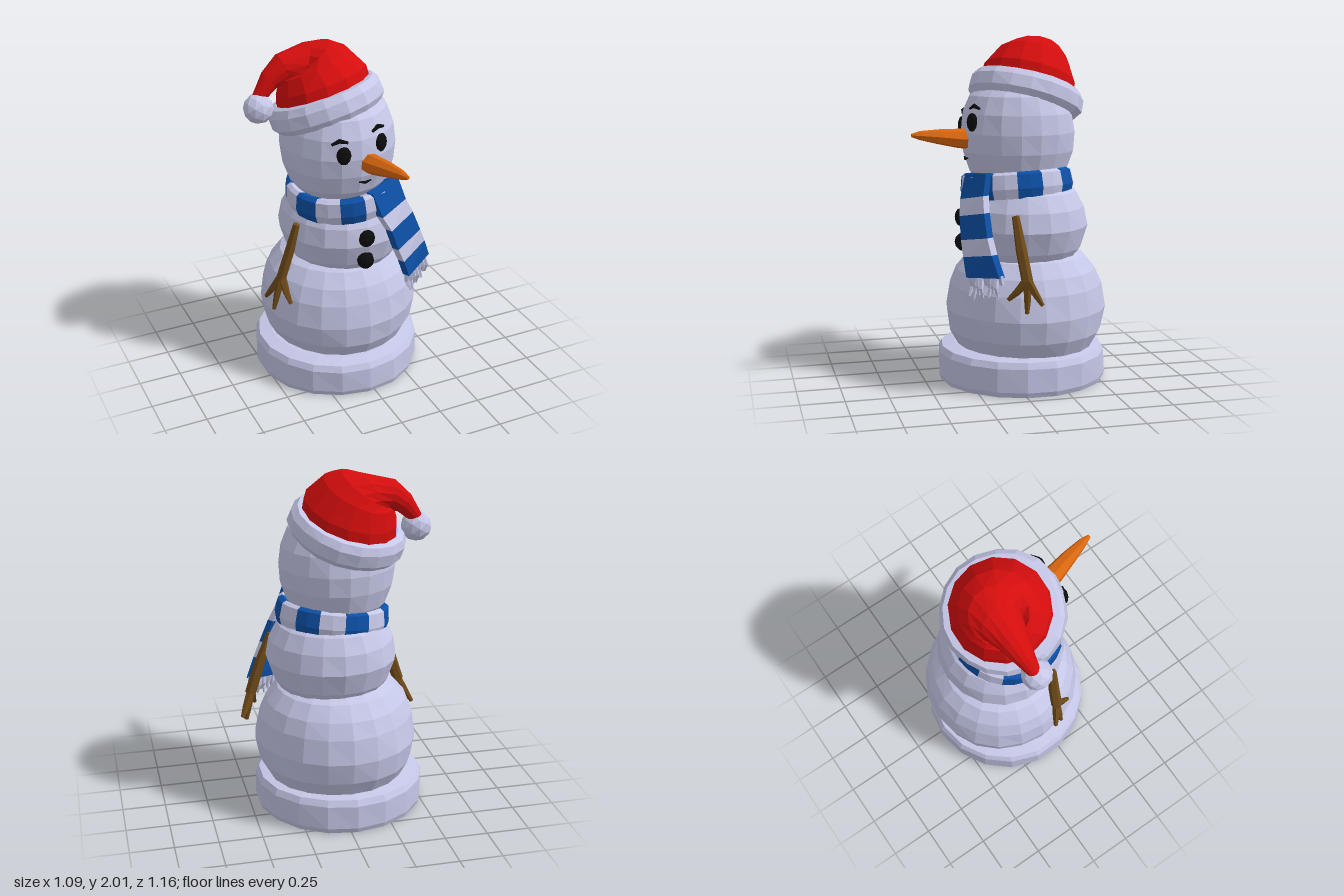
import * as THREE from 'three';

const mat = (name, color) => {
  const m = new THREE.MeshStandardMaterial({ color });
  m.name = name;
  return m;
};
const V = (a) => new THREE.Vector3(...a);

// Faceted normals baked into the geometry
function facet(geo) {
  const g = geo.index ? geo.toNonIndexed() : geo;
  g.computeVertexNormals();
  return g;
}

// Lathe with a gentle, seamless unevenness of the surface
function blob(profile, sides, amp = 0.012, start = 0, length = Math.PI * 2) {
  const g = new THREE.LatheGeometry(profile.map(([r, y]) => new THREE.Vector2(r, y)), sides, start, length);
  const p = g.attributes.position;
  for (let i = 0; i < p.count; i++) {
    const x = p.getX(i), y = p.getY(i), z = p.getZ(i), t = Math.atan2(x, z);
    const k = 1 + amp * (Math.sin(3 * t + 9 * y) + Math.sin(5 * t - 14 * y)) / 2;
    p.setXYZ(i, x * k, y, z * k);
  }
  return facet(g);
}

// Capped skin over rings of points, each ring turning counter-clockwise about the travel direction
function loft(rings) {
  const n = rings[0].length, last = rings.length - 1, pos = [], idx = [];
  rings.forEach((r) => r.forEach((q) => pos.push(q.x, q.y, q.z)));
  for (let i = 0; i < last; i++) {
    for (let j = 0; j < n; j++) {
      const a = i * n + j, b = i * n + (j + 1) % n;
      idx.push(a, b, b + n, a, b + n, a + n);
    }
  }
  for (let j = 1; j < n - 1; j++) {
    idx.push(0, j + 1, j, last * n, last * n + j, last * n + j + 1);
  }
  const g = new THREE.BufferGeometry();
  g.setAttribute('position', new THREE.Float32BufferAttribute(pos, 3));
  g.setIndex(idx);
  return facet(g);
}

// Tapering limb through stations [x, y, z, radius]; ring directions may be given
function limb(stations, sides = 6, ref = [0, 0, 1], dirs) {
  const c = stations.map((s) => new THREE.Vector3(s[0], s[1], s[2]));
  return loft(c.map((p, i) => {
    const d = dirs ? V(dirs[i]).normalize()
      : c[Math.min(i + 1, c.length - 1)].clone().sub(c[Math.max(i - 1, 0)]).normalize();
    const u = V(ref).cross(d).normalize(), v = d.clone().cross(u);
    return Array.from({ length: sides }, (_, j) => {
      const a = (j / sides) * Math.PI * 2, r = stations[i][3];
      return p.clone().addScaledVector(u, r * Math.cos(a)).addScaledVector(v, r * Math.sin(a));
    });
  }));
}

export function createModel() {
  const model = new THREE.Group();
  model.name = 'snowman';
  const snow = mat('snow', 0xc6c8e8), red = mat('hat red', 0xd40d0d), blue = mat('scarf blue', 0x0d50a6);
  const wood = mat('wood', 0x6e4a18), coal = mat('coal', 0x0c0c0c), orange = mat('carrot', 0xd9660f);
  const add = (name, geo, material, at = [0, 0, 0], parent = model) => {
    const m = new THREE.Mesh(geo, material);
    m.name = name;
    m.position.set(...at);
    parent.add(m);
    return m;
  };

  // Snow base and the three balls
  add('base', blob([[0, 0], [0.485, 0], [0.496, 0.03], [0.494, 0.165], [0.475, 0.2], [0.4, 0.215], [0, 0.215]], 18, 0.008), snow, [-0.035, 0, -0.085]);
  add('lowerBody', blob([[0, 0.19], [0.39, 0.19], [0.45, 0.3], [0.472, 0.43], [0.448, 0.57], [0.41, 0.66], [0.345, 0.74], [0.24, 0.79], [0, 0.8]], 20), snow, [-0.013, 0, -0.105]);
  add('middleBody', blob([[0, 0.7], [0.29, 0.72], [0.335, 0.79], [0.377, 0.92], [0.358, 1.03], [0.31, 1.12], [0.2, 1.2], [0, 1.22]], 18), snow, [0.01, 0, -0.085]);
  add('head', blob([[0, 1.12], [0.2, 1.14], [0.285, 1.24], [0.322, 1.35], [0.333, 1.46], [0.318, 1.57], [0.275, 1.67], [0.19, 1.75], [0, 1.78]], 18), snow, [-0.03, 0, -0.06]);

  // Face
  const pebble = (name, at, size, turn) => {
    const m = add(name, facet(new THREE.SphereGeometry(1, 10, 6)), coal, at);
    m.scale.set(...size);
    m.rotation.y = turn;
  };
  pebble('rightEye', [-0.13, 1.49, 0.245], [0.042, 0.055, 0.025], -0.32);
  pebble('leftEye', [0.1, 1.525, 0.235], [0.042, 0.055, 0.025], 0.42);
  add('rightBrow', limb([[-0.19, 1.555, 0.215, 0.008], [-0.15, 1.578, 0.232, 0.014], [-0.105, 1.565, 0.247, 0.008]], 5), coal);
  add('leftBrow', limb([[0.045, 1.6, 0.236, 0.008], [0.085, 1.618, 0.22, 0.014], [0.13, 1.605, 0.2, 0.008]], 5), coal);
  add('mouth', limb([[-0.04, 1.318, 0.252, 0.004], [-0.005, 1.31, 0.254, 0.009], [0.035, 1.316, 0.248, 0.004]], 5), coal);
  add('nose', limb([[0.01, 1.42, 0.2, 0.062], [0.025, 1.43, 0.3, 0.056], [0.055, 1.445, 0.42, 0.043], [0.08, 1.457, 0.53, 0.026], [0.09, 1.46, 0.58, 0.01]], 7, [0, 1, 0]), orange);

  // Buttons
  pebble('upperButton', [-0.005, 0.97, 0.285], [0.05, 0.052, 0.032], 0);
  pebble('lowerButton', [-0.005, 0.825, 0.265], [0.05, 0.055, 0.055], 0);

  // Scarf ring of alternating stripes
  const scarf = new THREE.Group();
  scarf.name = 'scarfRing';
  scarf.position.set(-0.007, 1.16, -0.05);
  scarf.rotation.set(0.05, 0, 0.1);
  model.add(scarf);
  const step = (Math.PI * 2) / 14;
  const band = [[0.24, -0.06], [0.315, -0.075], [0.33, -0.02], [0.318, 0.06], [0.295, 0.075], [0.24, 0.05], [0.24, -0.06]];
  for (let i = 0; i < 14; i++) {
    add('scarfStripe', blob(band, 2, 0.008, -(i + 1) * step, step), i % 2 ? snow : blue, [0, 0, 0], scarf);
  }

  // Hanging scarf end: matching points on its left-hand and right-hand edges
  const edgeA = [[0.04, 1.23, 0.265], [0.085, 1.09, 0.305], [0.135, 1.0, 0.32], [0.18, 0.87, 0.322], [0.22, 0.78, 0.318], [0.26, 0.67, 0.31]].map(V);
  const edgeB = [[0.24, 1.25, 0.19], [0.275, 1.13, 0.215], [0.32, 1.04, 0.22], [0.375, 0.91, 0.215], [0.415, 0.82, 0.2], [0.465, 0.7, 0.17]].map(V);
  const back = V([-0.022, 0, -0.038]);
  const section = (i) => [edgeA[i].clone().add(back), edgeB[i].clone().add(back), edgeB[i], edgeA[i]];
  for (let i = 0; i < 5; i++) {
    add('scarfEnd', loft([section(i), section(i + 1)]), i % 2 ? snow : blue);
  }

  // Fringe
  for (let i = 0; i < 9; i++) {
    const t = (i + 0.5) / 9;
    const p = edgeA[5].clone().lerp(edgeB[5], t).addScaledVector(back, 0.5);
    const drop = 0.105 - 0.025 * t + (i % 2) * 0.02;
    const sway = ((i * 5) % 4 - 1.5) * 0.006;
    add('fringe', limb([[p.x, p.y + 0.01, p.z, 0.017], [p.x + 0.012 + sway, p.y - drop * 0.5, p.z + sway, 0.014], [p.x + 0.02, p.y - drop, p.z + 0.005 - sway, 0.006]], 5), snow);
  }

  // Twig arms, each a branch with three fingers
  const twig = (name, shoulder, elbow, wrist, fingers) => {
    const arm = new THREE.Group();
    arm.name = name;
    model.add(arm);
    add('branch', limb([[...shoulder, 0.022], [...elbow, 0.032], [...wrist, 0.033]], 6), wood, [0, 0, 0], arm);
    fingers.forEach((tip) => {
      const mid = V(wrist).lerp(V(tip), 0.55).toArray();
      const root = V(wrist).lerp(V(elbow), 0.1).toArray();
      add('finger', limb([[...root, 0.026], [...mid, 0.021], [...tip, 0.012]], 5), wood, [0, 0, 0], arm);
    });
  };
  twig('rightArm', [-0.335, 1.02, 0.045], [-0.375, 0.85, 0.03], [-0.43, 0.67, 0.02],
    [[-0.41, 0.55, 0.12], [-0.48, 0.48, 0.025], [-0.505, 0.54, -0.035]]);
  twig('leftArm', [0.34, 1.02, 0.045], [0.41, 0.84, 0.03], [0.47, 0.67, 0.01],
    [[0.43, 0.57, 0.11], [0.495, 0.5, 0.02], [0.53, 0.55, -0.06]]);

  // Hat: tilted brim, drooping cap and pompom
  const lean = [-0.25, 1, -0.3];
  const brim = add('hatBrim', blob([[0.25, -0.06], [0.31, -0.075], [0.337, -0.04], [0.335, 0.03], [0.31, 0.07], [0.27, 0.075], [0.25, 0.05], [0.25, -0.06]], 18, 0.02), snow, [-0.075, 1.665, -0.12]);
  brim.quaternion.setFromUnitVectors(V([0, 1, 0]), V(lean).normalize());
  add('hatCap', limb(
    [[-0.08, 1.68, -0.13, 0.285], [-0.09, 1.79, -0.15, 0.27], [-0.125, 1.885, -0.18, 0.21], [-0.155, 1.912, -0.195, 0.16],
      [-0.2, 1.888, -0.205, 0.12], [-0.3, 1.87, -0.205, 0.085], [-0.38, 1.815, -0.2, 0.06], [-0.46, 1.72, -0.185, 0.035]],
    14, [0, 0, 1],
    [lean, lean, [-0.4, 1, -0.3], [-0.7, 1, -0.25], [-1, 0.5, 0], [-1, -0.3, 0], [-1, -0.8, 0], [-0.8, -1, 0]]), red);
  add('pompom', facet(new THREE.IcosahedronGeometry(0.087, 1)), snow, [-0.46, 1.672, -0.17]);

  return model;
}
